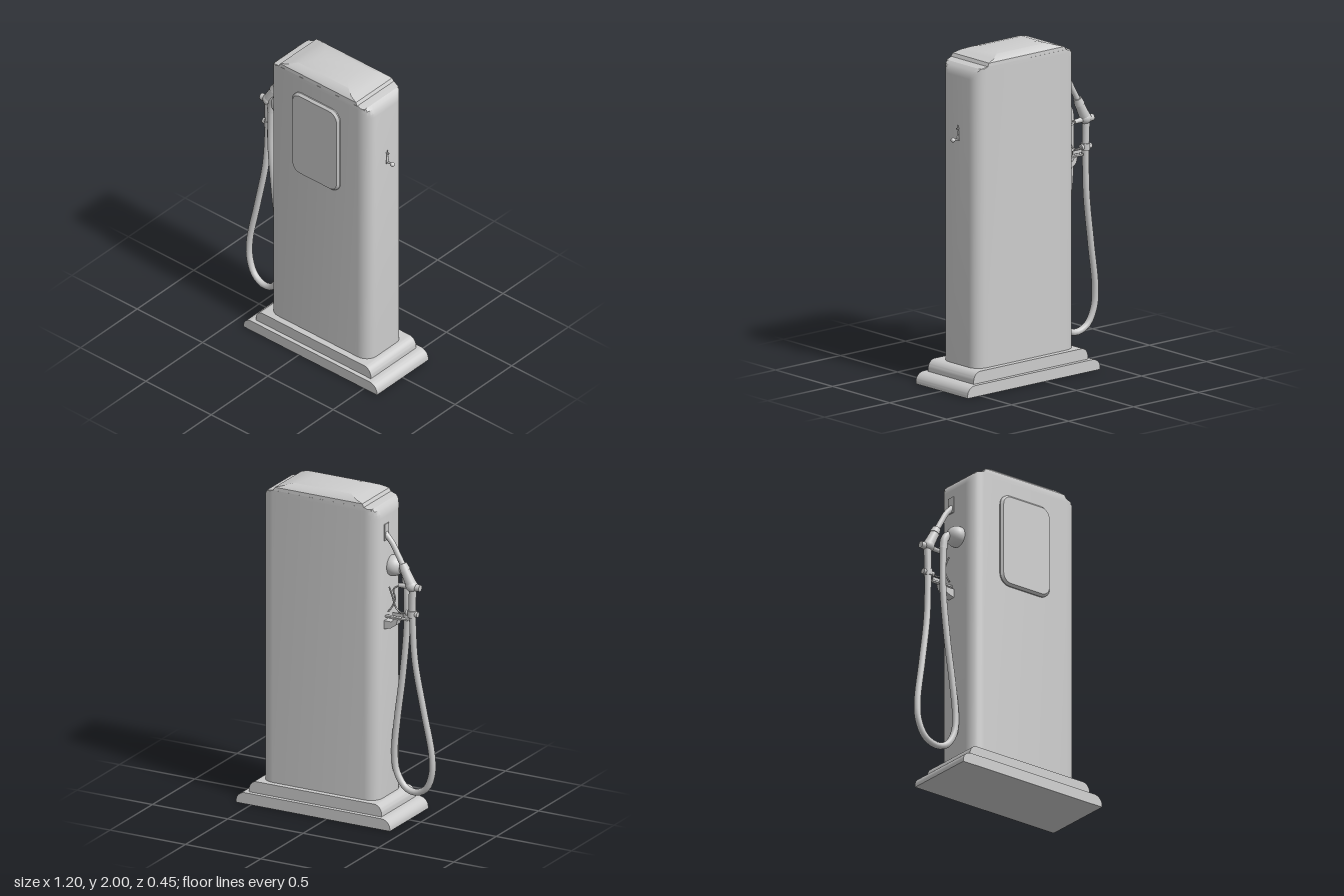
import * as THREE from 'three';
import { toCreasedNormals } from 'three/addons/utils/BufferGeometryUtils.js';

const V = (x, y, z) => new THREE.Vector3(x, y, z);
const CX = 0.0875, CZ = -0.003; // centre of the cabinet

export function createModel() {
  const root = new THREE.Group();
  const mat = new THREE.MeshStandardMaterial({ color: 0xcccccc, roughness: 0.7 });

  const add = (name, geo, parent = root) => {
    const mesh = new THREE.Mesh(geo, mat);
    mesh.name = name;
    parent.add(mesh);
    return mesh;
  };
  const group = (name) => {
    const g = new THREE.Group();
    g.name = name;
    root.add(g);
    return g;
  };
  // Tapered rod between two points
  const rod = (name, a, b, ra, rb, parent, sides = 14) => {
    const m = add(name, new THREE.CylinderGeometry(rb, ra, a.distanceTo(b), sides), parent);
    m.position.copy(a).add(b).multiplyScalar(0.5);
    m.quaternion.setFromUnitVectors(V(0, 1, 0), b.clone().sub(a).normalize());
    return m;
  };
  const ball = (name, p, r, parent) => {
    const m = add(name, new THREE.SphereGeometry(r, 20, 14), parent);
    m.position.copy(p);
    return m;
  };
  const box = (name, p, w, h, d, parent) => {
    const m = add(name, new THREE.BoxGeometry(w, h, d), parent);
    m.position.copy(p);
    return m;
  };
  const tube = (name, pts, r, parent, n = 40, sides = 12) =>
    add(name, new THREE.TubeGeometry(new THREE.CatmullRomCurve3(pts.map((p) => V(...p))), n, r, sides), parent);
  // Skin over closed rings stacked upward, with a lid on the last ring
  const loft = (rings, crease) => {
    const n = rings[0].length, pos = [], tri = (...ps) => ps.forEach((p) => pos.push(...p));
    for (let r = 0; r < rings.length - 1; r++)
      for (let i = 0; i < n; i++) {
        const j = (i + 1) % n, a = rings[r], b = rings[r + 1];
        tri(a[i], a[j], b[j]);
        tri(a[i], b[j], b[i]);
      }
    const top = rings[rings.length - 1], c = [CX, top[0][1], CZ];
    for (let i = 0; i < n; i++) tri(c, top[i], top[(i + 1) % n]);
    const g = new THREE.BufferGeometry();
    g.setAttribute('position', new THREE.Float32BufferAttribute(pos, 3));
    return toCreasedNormals(g, crease);
  };

  // Stepped plinth: each tier has rounded left and right ends
  const tier = (name, half, y, h, rx, depth) => {
    const s = new THREE.Shape();
    s.moveTo(-half, 0);
    s.lineTo(half, 0);
    s.lineTo(half, h * 0.2);
    s.absellipse(half - rx, h * 0.2, rx, h * 0.8, 0, Math.PI / 2, false);
    s.absellipse(rx - half, h * 0.2, rx, h * 0.8, Math.PI / 2, Math.PI, false);
    const g = new THREE.ExtrudeGeometry(s, { depth, bevelEnabled: false, curveSegments: 6 });
    g.translate(0.0885, y, -depth / 2);
    add(name, toCreasedNormals(g, 0.6));
  };
  tier('lowerBase', 0.51, 0, 0.068, 0.06, 0.454);
  tier('upperBase', 0.44, 0.068, 0.07, 0.05, 0.4);

  // Cabinet: rounded plan, with the ends curving in at the shoulders
  const quarter = [];
  for (let i = 0; i <= 6; i++) {
    const a = (i / 6) * Math.PI / 2;
    quarter.push([0.303 + 0.08 * Math.sin(a), 0.09 + 0.072 * Math.cos(a)]);
  }
  const back = [...quarter].reverse();
  const plan = [
    ...quarter, ...back.map(([x, z]) => [x, -z]),
    ...quarter.map(([x, z]) => [-x, -z]), ...back.map(([x, z]) => [-x, z]),
  ];
  const shoulder = [[0.13, 0.383], [1.86, 0.383], [1.885, 0.378], [1.91, 0.365], [1.926, 0.347], [1.935, 0.303]];
  add('cabinet', loft(shoulder.map(([y, w]) =>
    plan.map(([x, z]) => [CX + Math.sign(x) * Math.min(Math.abs(x), w), y, CZ + z])), 0.5));

  // Domed roof: shrinking rectangles, curved both ways
  const dome = [[1.93, 0.303, 0.162], [1.955, 0.29, 0.16], [1.97, 0.24, 0.146],
    [1.985, 0.19, 0.112], [1.995, 0.14, 0.065], [2, 0.085, 0.001]];
  add('roof', loft(dome.map(([y, hx, hz]) =>
    [[-1, 1], [1, 1], [1, -1], [-1, -1]].map(([sx, sz]) => [CX + sx * hx, y, CZ + sz * hz])), 0.45));

  // Raised window panel with bevelled rim
  const w = 0.168, h = 0.275, r = 0.055, s = new THREE.Shape();
  s.absarc(w - r, h - r, r, 0, Math.PI / 2);
  s.absarc(r - w, h - r, r, Math.PI / 2, Math.PI);
  s.absarc(r - w, r - h, r, Math.PI, Math.PI * 1.5);
  s.absarc(w - r, r - h, r, Math.PI * 1.5, Math.PI * 2);
  const panel = new THREE.ExtrudeGeometry(s, {
    depth: 0.01, bevelThickness: 0.014, bevelSize: 0.013, bevelSegments: 1, curveSegments: 5,
  });
  add('windowPanel', toCreasedNormals(panel, 0.5)).position.set(0.08, 1.538, 0.156);

  // Crank on the left side
  const crank = group('crank');
  rod('crankShaft', V(0.465, 1.55, -0.005), V(0.488, 1.55, -0.005), 0.005, 0.005, crank);
  rod('crankArm', V(0.478, 1.48, -0.005), V(0.478, 1.57, -0.005), 0.012, 0.003, crank).scale.x = 0.45;
  rod('crankHandle', V(0.475, 1.488, -0.005), V(0.51, 1.488, -0.005), 0.005, 0.006, crank);
  ball('crankKnob', V(0.516, 1.488, -0.005), 0.014, crank);

  // Hose outlet: round boss, elbow and fitting
  const outlet = group('hoseOutlet');
  ball('outletBoss', V(-0.31, 1.54, 0.02), 0.063, outlet);
  tube('outletElbow', [[-0.33, 1.545, 0.012], [-0.365, 1.535, 0.01], [-0.39, 1.505, 0.01], [-0.4, 1.44, 0.01]], 0.024, outlet, 16);
  tube('hose', [
    [-0.4, 1.46, 0.01], [-0.402, 1.2, 0.01], [-0.373, 0.88, 0.012], [-0.335, 0.6, 0.015],
    [-0.316, 0.4, 0.018], [-0.328, 0.28, 0.02], [-0.385, 0.19, 0.02], [-0.455, 0.17, 0.016],
    [-0.528, 0.205, 0.008], [-0.572, 0.3, 0], [-0.577, 0.42, -0.006], [-0.53, 0.7, -0.022],
    [-0.482, 1, -0.038], [-0.468, 1.3, -0.045],
  ], 0.02, root, 90);

  // Nozzle hanging on the right side
  const nozzle = group('nozzle'), z = -0.046;
  rod('hoseCollar', V(-0.468, 1.27, z), V(-0.468, 1.31, z), 0.027, 0.027, nozzle);
  rod('collarBolt', V(-0.506, 1.29, z), V(-0.43, 1.29, z), 0.017, 0.017, nozzle);
  rod('grip', V(-0.468, 1.3, z), V(-0.472, 1.46, z), 0.021, 0.023, nozzle);
  ball('valveBody', V(-0.466, 1.46, z), 0.036, nozzle);
  rod('valveCap', V(-0.522, 1.455, z), V(-0.46, 1.455, z), 0.02, 0.024, nozzle);
  rod('valveArm', V(-0.46, 1.455, z), V(-0.38, 1.45, z), 0.017, 0.013, nozzle);
  rod('nozzleBarrel', V(-0.462, 1.47, z), V(-0.415, 1.56, z), 0.033, 0.027, nozzle);
  rod('barrelRing', V(-0.422, 1.55, z), V(-0.405, 1.588, z), 0.031, 0.024, nozzle);
  tube('spout', [[-0.412, 1.57, z], [-0.37, 1.645, z], [-0.335, 1.705, z], [-0.285, 1.76, z]], 0.017, nozzle, 20);
  tube('trigger', [[-0.385, 1.45, z], [-0.345, 1.42, z], [-0.355, 1.36, z], [-0.335, 1.31, z], [-0.31, 1.275, z]], 0.005, nozzle, 24, 8);
  tube('triggerGuard', [[-0.45, 1.29, z], [-0.39, 1.285, z], [-0.36, 1.31, z], [-0.335, 1.38, z], [-0.315, 1.43, z]], 0.005, nozzle, 24, 8);

  // Cradle and spout socket on the cabinet side
  const cradle = group('nozzleCradle');
  const c = new THREE.Shape([[-0.29, 1.17], [-0.34, 1.185], [-0.375, 1.21], [-0.385, 1.245],
    [-0.36, 1.245], [-0.345, 1.225], [-0.29, 1.225]].map((p) => new THREE.Vector2(...p)));
  const cg = new THREE.ExtrudeGeometry(c, { depth: 0.05, bevelEnabled: false });
  cg.translate(0, 0, z - 0.025);
  add('cradleHook', cg, cradle);
  box('cradleShelf', V(-0.368, 1.247, z), 0.15, 0.01, 0.024, cradle);
  box('cradleLever', V(-0.385, 1.275, z - 0.02), 0.07, 0.02, 0.008, cradle);
  box('spoutSocket', V(-0.295, 1.765, z), 0.012, 0.1, 0.05, cradle);
  return root;
}
